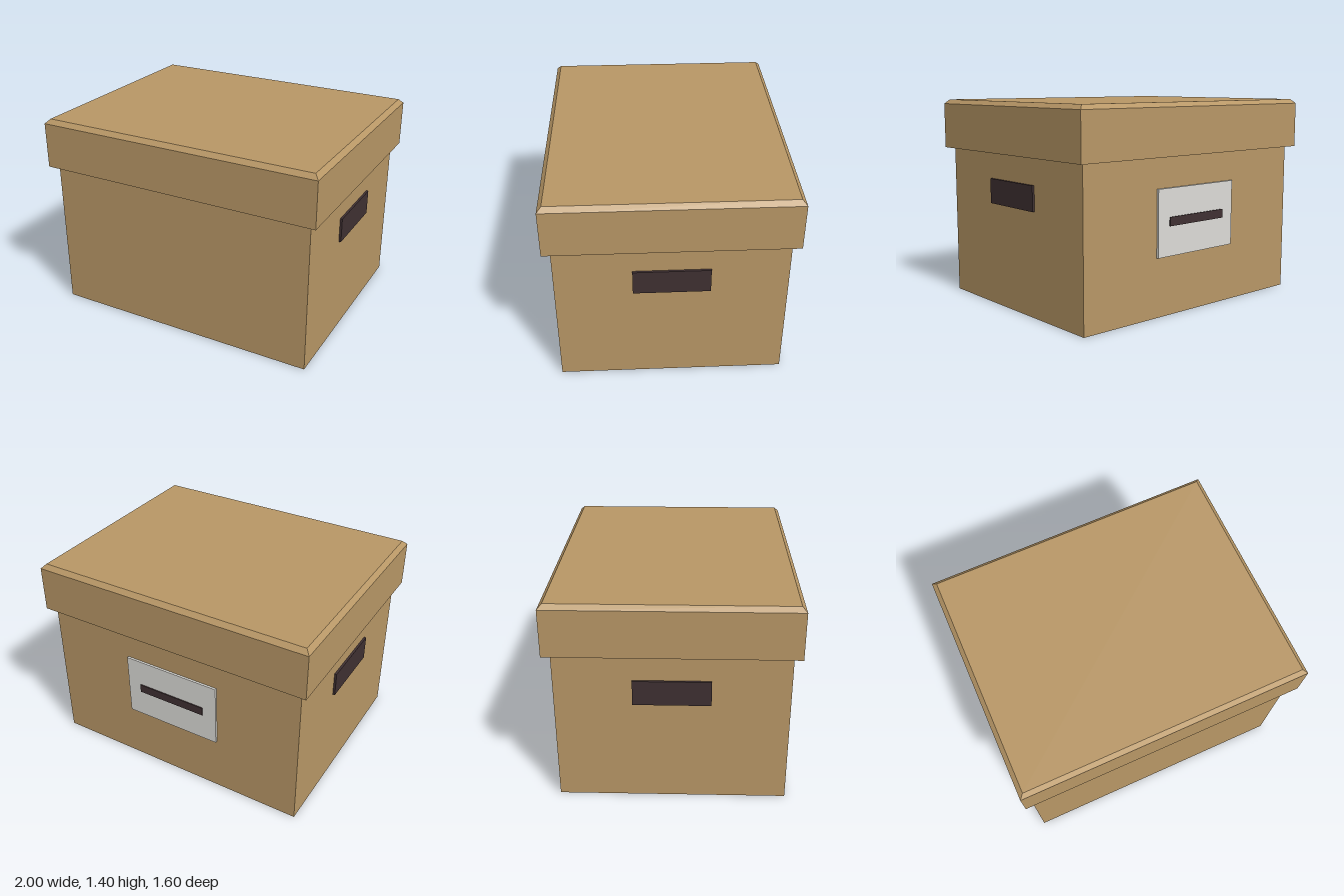
import * as THREE from 'three';

const material = (name, color) => {
  const m = new THREE.MeshStandardMaterial({ color });
  m.name = name;
  return m;
};

export function createModel() {
  const cardboard = material('cardboard', 0xb89766);
  const dark = material('dark brown', 0x3f3032);
  const paper = material('label paper', 0xdcdbd7);
  const group = new THREE.Group();
  group.name = 'storageBox';

  const add = (name, geometry, mat, x, y, z) => {
    const mesh = new THREE.Mesh(geometry, mat);
    mesh.name = name;
    mesh.position.set(x, y, z);
    group.add(mesh);
  };

  // Box body, reaching up inside the lid
  add('body', new THREE.BoxGeometry(1.9, 1.1, 1.5), cardboard, 0, 0.55, 0);

  // Lid: a box whose top ring is drawn in to make a chamfer
  const bottom = 1.055, shoulder = 1.37, top = 1.4, inset = 0.03;
  const lid = new THREE.BoxGeometry(2, 2, 1.6, 1, 2, 1);
  const p = lid.attributes.position;
  for (let i = 0; i < p.count; i++) {
    const level = Math.round(p.getY(i));
    p.setY(i, [bottom, shoulder, top][level + 1]);
    if (level === 1) {
      p.setX(i, p.getX(i) - Math.sign(p.getX(i)) * inset);
      p.setZ(i, p.getZ(i) - Math.sign(p.getZ(i)) * inset);
    }
  }
  const flatLid = lid.toNonIndexed();
  flatLid.computeVertexNormals();
  add('lid', flatLid, cardboard, 0, 0, 0);

  // Hand holds on both sides
  for (const [name, side] of [['leftHandle', 1], ['rightHandle', -1]]) {
    add(name, new THREE.BoxGeometry(0.03, 0.17, 0.5), dark, side * 0.95, 0.79, 0);
  }

  // Label with a dark line on the back
  add('label', new THREE.BoxGeometry(0.7, 0.45, 0.03), paper, 0, 0.625, -0.75);
  add('labelLine', new THREE.BoxGeometry(0.5, 0.06, 0.02), dark, 0, 0.63, -0.762);

  return group;
}
